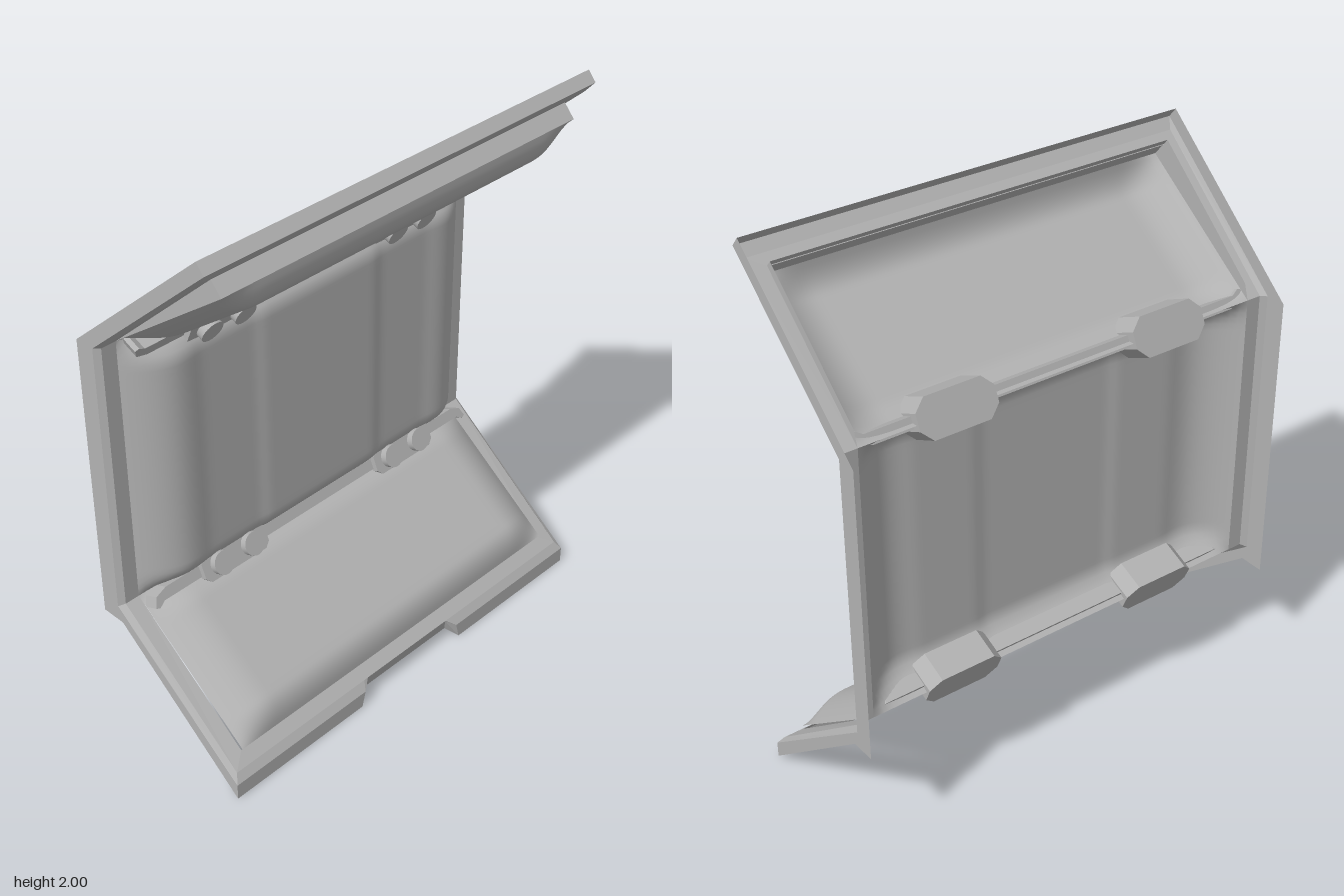
import * as THREE from 'three';

const HALF_W = 0.76;
const shell = new THREE.MeshStandardMaterial({ color: 0xb2b2b2, side: THREE.DoubleSide });
shell.name = 'plain grey';

function add(parent, name, geometry, x = 0, y = 0, z = 0) {
  const mesh = new THREE.Mesh(geometry, shell);
  mesh.name = name;
  mesh.position.set(x, y, z);
  parent.add(mesh);
  return mesh;
}

const polygon = (pts) => new THREE.Shape(pts.map(([x, y]) => new THREE.Vector2(x, y)));

// Closed rim loop; side rows are [y, z] from the top end to the bottom end,
// notch is the [x, y, z] of the cut-out in the bottom edge.
function rimLoop(x, side, lip, notch) {
  const end = side[side.length - 1];
  const half = [
    ...side.map(([y, z]) => [x, y, z]),
    [lip, end[0], end[1]],
    notch,
  ];
  const mirrored = half.map(([px, y, z]) => [-px, y, z]).reverse();
  return [...half, ...mirrored];
}

// Flat-faced skin between successive closed loops
function loft(loops) {
  const pos = [];
  for (let i = 0; i < loops.length - 1; i++) {
    const a = loops[i], b = loops[i + 1], n = a.length;
    for (let j = 0; j < n; j++) {
      const k = (j + 1) % n;
      pos.push(...a[j], ...a[k], ...b[j], ...a[k], ...b[k], ...b[j]);
    }
  }
  // loops run clockwise, so flip to face outwards
  for (let t = 0; t < pos.length; t += 9) {
    for (let c = 0; c < 3; c++) [pos[t + 3 + c], pos[t + 6 + c]] = [pos[t + 6 + c], pos[t + 3 + c]];
  }
  const g = new THREE.BufferGeometry();
  g.setAttribute('position', new THREE.Float32BufferAttribute(pos, 3));
  g.computeVertexNormals();
  return g;
}

// Eased rise from 0 at an edge to 1 at the given margin
function rise(d, margin) {
  const t = Math.min(1, Math.max(0, d / margin));
  return 1 - (1 - t) ** 2;
}

// Padded panel: a sheet bulging along +z, hinged at y = 0
function padGeometry(length, height, m0, m1, mx, lift, groove) {
  const g = new THREE.PlaneGeometry(HALF_W * 2, length, 76, 44);
  g.translate(0, length / 2, 0);
  const p = g.attributes.position;
  for (let i = 0; i < p.count; i++) {
    const x = Math.abs(p.getX(i)), u = p.getY(i);
    const bulge = rise(u, m0) * rise(length - u, m1) * rise(HALF_W - x, mx);
    const dip = groove * THREE.MathUtils.smoothstep(x, 0.24, 0.3)
      * (1 - THREE.MathUtils.smoothstep(x, 0.5, 0.58));
    p.setZ(i, lift * u / length + (height - dip) * bulge);
  }
  g.computeVertexNormals();
  return g;
}

// Fold: rail, two eight-sided brackets and their round studs
function buildHinge(s) {
  const hinge = new THREE.Group();
  hinge.name = s > 0 ? 'upperHinge' : 'lowerHinge';
  hinge.position.set(0, 1 + s * 0.467, -0.125);
  hinge.rotation.x = s * 0.42;

  const right = [[0.7, -0.02], [0.745, -0.005], [0.76, 0.03], [0.745, 0.036], [0.72, 0.02]];
  const outline = [...right, ...right.map(([x, y]) => [-x, y]).reverse()];
  const rail = new THREE.ExtrudeGeometry(polygon(outline.map(([x, y]) => [x, s * y])),
    { depth: 0.06, bevelEnabled: false });
  add(hinge, 'hingeRail', rail, 0, 0, -0.08);

  const w = 0.143, h = 0.068, c = 0.04;
  const octagon = polygon([[-w + c, -h], [w - c, -h], [w, -h + c], [w, h - c],
    [w - c, h], [-w + c, h], [-w, h - c], [-w, -h + c]]);
  for (const side of [-1, 1]) {
    const block = new THREE.ExtrudeGeometry(octagon, { depth: 0.11, bevelEnabled: false });
    add(hinge, 'hingeBracket', block, side * 0.413, 0, -0.11);
    for (const dx of [-0.069, 0.069]) {
      const stud = new THREE.CylinderGeometry(0.042, 0.042, 0.025, 24);
      stud.rotateX(Math.PI / 2);
      add(hinge, 'hingeStud', stud, side * 0.413 + dx, 0, 0.0125);
    }
  }
  return hinge;
}

export function createModel() {
  const model = new THREE.Group();
  model.name = 'foldingPanel';

  // Folded frame: front strip, chamfer and thin outer wall, open at the back
  const inner = [[1.9, 0.224], [1.5, -0.22], [0.5, -0.22], [0.5, -0.22], [0.125, 0.255]];
  const front = [[1.93, 0.257], [1.5, -0.22], [0.5, -0.22], [0.5, -0.22], [0.09, 0.293]];
  const outer = [[1.965, 0.285], [1.5, -0.238], [0.49, -0.238], [0.49, -0.238], [0.06, 0.314]];
  const back = [[2.0, 0.255], [1.5, -0.312], [0.43, -0.312], [0.43, -0.22], [0.0, 0.314]];
  add(model, 'frame', loft([
    rimLoop(HALF_W, inner, 0.2, [0.2, 0.125, 0.255]),
    rimLoop(0.815, front, 0.22, [0.2, 0.09, 0.293]),
    rimLoop(0.834, outer, 0.235, [0.2, 0.087, 0.291]),
    rimLoop(0.834, back, 0.25, [0.215, 0.033, 0.275]),
  ]));

  // Middle pad
  add(model, 'middlePad', padGeometry(1, 0.1, 0.1, 0.1, 0.17, 0, 0.008), 0, 0.5, -0.22);

  // Upper flap pad with the skirt that joins it to the frame
  const upper = new THREE.Group();
  upper.name = 'upperFlap';
  upper.position.set(0, 1.5, -0.22);
  upper.rotation.x = Math.atan2(0.748, 0.663);
  add(upper, 'upperPad', padGeometry(0.6, 0.065, 0.13, 0.1, 0.16, 0.055, 0));
  const endSkirt = new THREE.PlaneGeometry(HALF_W * 2, 0.088);
  endSkirt.rotateX(-Math.PI / 2);
  add(upper, 'upperEndSkirt', endSkirt, 0, 0.6, 0.011);
  for (const side of [-1, 1]) {
    const skirt = new THREE.ShapeGeometry(polygon([[0, 0], [0.05, -0.03], [0.6, -0.033], [0.6, 0.055]]));
    // profile axes become flap length (y) and depth (z)
    skirt.applyMatrix4(new THREE.Matrix4().makeBasis(
      new THREE.Vector3(0, 1, 0), new THREE.Vector3(0, 0, 1), new THREE.Vector3(1, 0, 0)));
    add(upper, 'upperSideSkirt', skirt, side * HALF_W, 0, 0);
  }
  model.add(upper);

  // Lower flap pad, turned to face up and forward
  const lower = new THREE.Group();
  lower.name = 'lowerFlap';
  lower.position.set(0, 0.5, -0.22);
  lower.rotation.set(Math.atan2(0.785, -0.62), Math.PI, 0);
  add(lower, 'lowerPad', padGeometry(0.605, 0.065, 0.13, 0.1, 0.16, 0.012, 0));
  model.add(lower);

  model.add(buildHinge(1), buildHinge(-1));
  return model;
}
